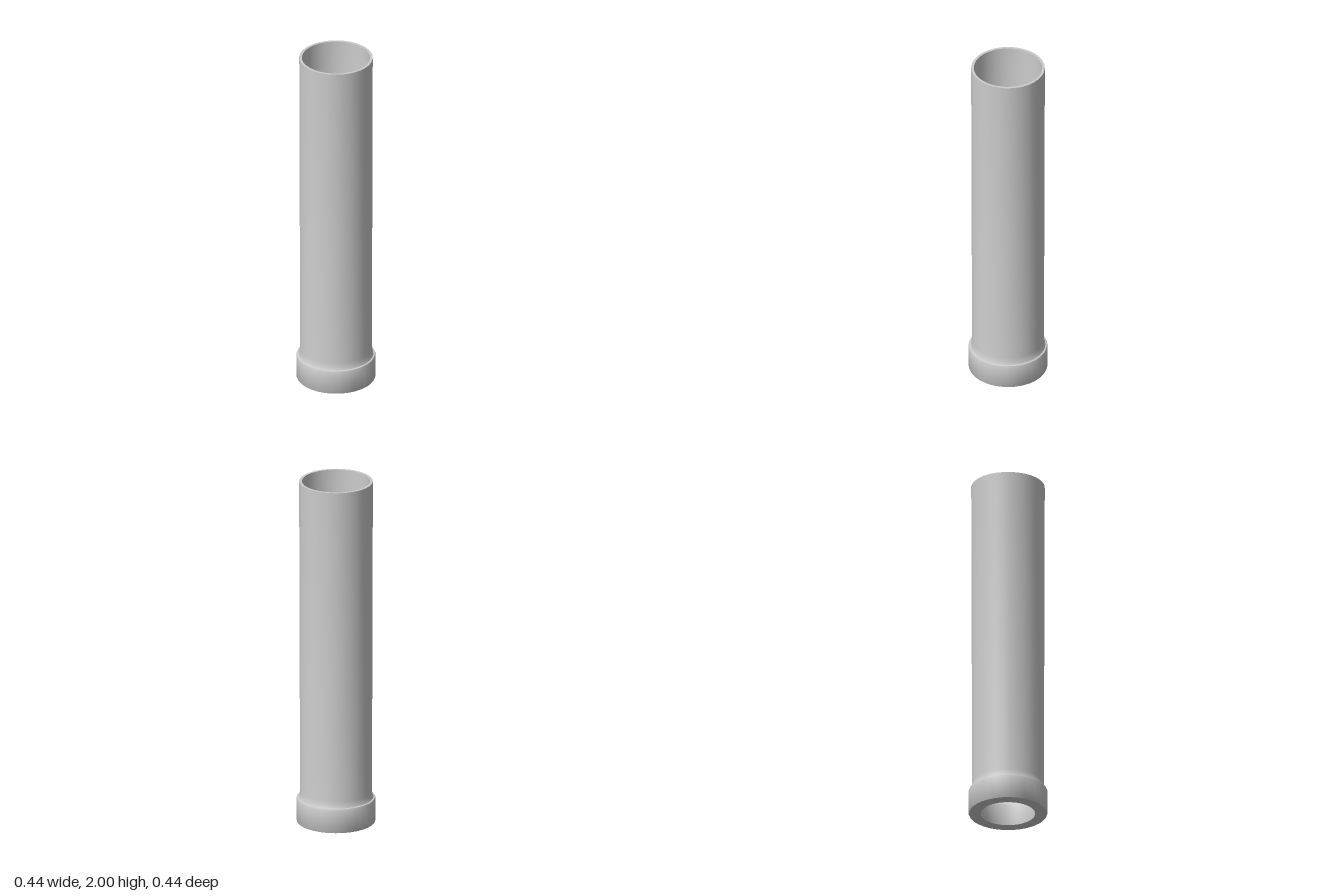
import * as THREE from 'three';
import { toCreasedNormals } from 'three/addons/utils/BufferGeometryUtils.js';

const SEGMENTS = 32;

// Turn a closed [radius, height] section around the y axis, keeping hard edges sharp
function turned(name, section) {
  const points = section.map(([r, y]) => new THREE.Vector2(r, y));
  const geometry = toCreasedNormals(new THREE.LatheGeometry(points, SEGMENTS), 0.75);
  const mesh = new THREE.Mesh(geometry, new THREE.MeshStandardMaterial({ color: 0xcccccc }));
  mesh.name = name;
  return mesh;
}

export function createModel() {
  const group = new THREE.Group();
  group.name = 'pipe';

  group.add(turned('pipeWithCollar', [
    // underside and collar
    [0.152, 0], [0.217, 0], [0.22, 0.006], [0.22, 0.132], [0.217, 0.14],
    // shoulder flaring into the slightly tapered outer wall
    [0.208, 0.142], [0.203, 0.155], [0.2, 0.18], [0.205, 2],
    // rim and inner wall
    [0.19, 2], [0.19, 0.16],
    // inner ledge and narrower bottom hole
    [0.184, 0.147], [0.16, 0.138], [0.152, 0.125], [0.152, 0],
  ]));

  return group;
}
